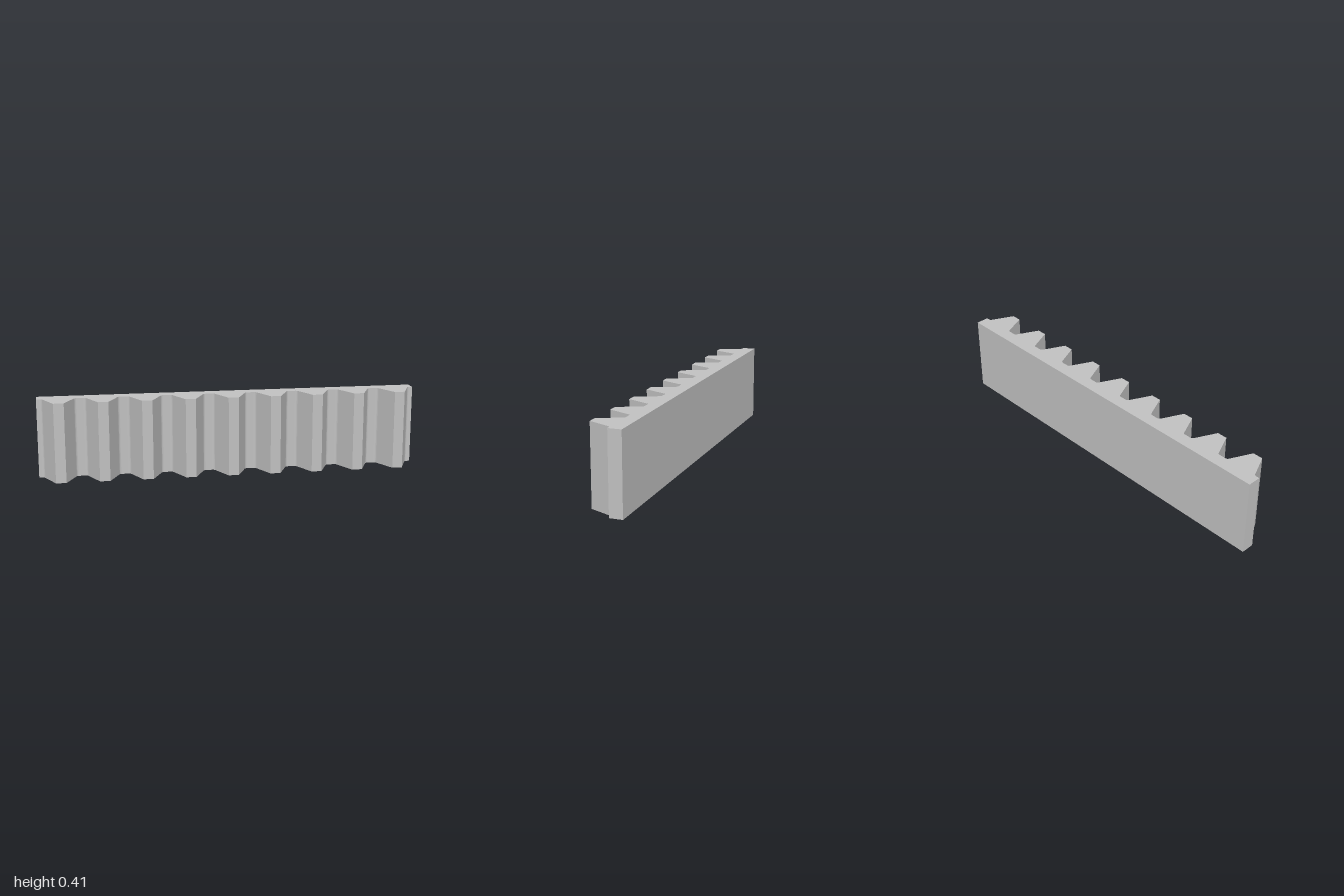
import * as THREE from 'three';

const LENGTH = 2, HEIGHT = 0.413, BACK = -0.096, ROOT = -0.028, TIP = 0.096;
const TEETH = 9, PITCH = LENGTH / TEETH;
const TIP_HALF = 0.0265, BASE_HALF = 0.084; // half widths of a tooth at tip and root
const FILLET = 0.01; // distance from root corner to where the rounding starts

export function createModel() {
  const group = new THREE.Group();
  group.name = 'gearRack';
  const steel = new THREE.MeshStandardMaterial({ color: 0xc0c0c0 });
  steel.name = 'steel grey';

  // unit direction of a flank, from root to tip
  const flank = new THREE.Vector2(BASE_HALF - TIP_HALF, TIP - ROOT).normalize();
  const dx = flank.x * FILLET, dz = flank.y * FILLET;

  // plan outline of the rack, drawn with y = -z, along the teeth from right to left
  const s = new THREE.Shape();
  s.moveTo(-LENGTH / 2, -BACK);
  s.lineTo(-LENGTH / 2, -ROOT);
  for (let i = 0; i < TEETH; i++) {
    const c = -LENGTH / 2 + (i + 0.5) * PITCH;
    s.lineTo(c - BASE_HALF - FILLET, -ROOT);
    s.quadraticCurveTo(c - BASE_HALF, -ROOT, c - BASE_HALF + dx, -(ROOT + dz));
    s.lineTo(c - TIP_HALF, -TIP);
    s.lineTo(c + TIP_HALF, -TIP);
    s.lineTo(c + BASE_HALF - dx, -(ROOT + dz));
    s.quadraticCurveTo(c + BASE_HALF, -ROOT, c + BASE_HALF + FILLET, -ROOT);
  }
  s.lineTo(LENGTH / 2, -ROOT);
  s.lineTo(LENGTH / 2, -BACK);
  s.closePath();

  // extrude the outline upward
  const geometry = new THREE.ExtrudeGeometry(s, { depth: HEIGHT, bevelEnabled: false, curveSegments: 5 });
  geometry.rotateX(-Math.PI / 2);
  const rack = new THREE.Mesh(geometry, steel);
  rack.name = 'toothedBar';
  group.add(rack);
  return group;
}
